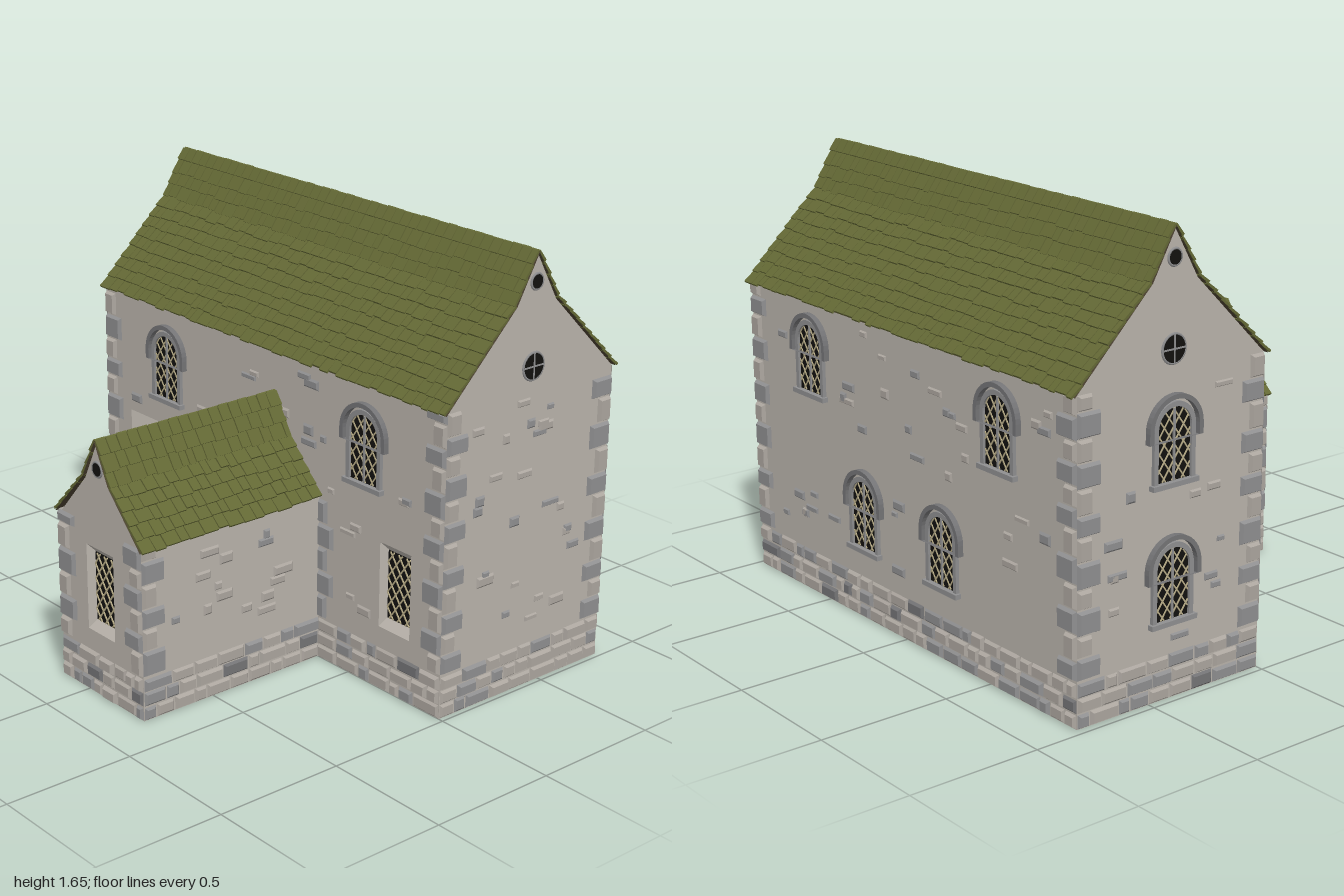
import * as THREE from 'three';
import { mergeGeometries } from 'three/addons/utils/BufferGeometryUtils.js';

const material = (name, color, side = THREE.FrontSide) => {
  const m = new THREE.MeshStandardMaterial({ color, side });
  m.name = name;
  return m;
};
const M = {
  plaster: material('plaster', 0xb9b3ab, THREE.DoubleSide),
  pale: material('paleStone', 0xaca69f),
  grey: material('greyStone', 0x8f8f90),
  dark: material('darkStone', 0x747476),
  tile: material('mossTile', 0x646935),
  under: material('roofUnderside', 0x4a4030, THREE.DoubleSide),
  glass: material('darkGlass', 0x12110f),
  lead: material('creamLattice', 0xb9ad88),
};

let seed = 11;
const rnd = (a = 0, b = 1) => {
  seed = (seed * 16807) % 2147483647;
  return a + (b - a) * (seed / 2147483647);
};

function add(parent, name, geo, mat) {
  const mesh = new THREE.Mesh(Array.isArray(geo) ? mergeGeometries(geo) : geo, mat);
  mesh.name = name;
  parent.add(mesh);
  return mesh;
}
const box = (w, h, d, x, y, z) => new THREE.BoxGeometry(w, h, d).translate(x, y, z);

// Stone block with a chamfered outer face, standing on the wall plane z = 0
function stone(x0, x1, y0, y1, depth) {
  const w = x1 - x0, h = y1 - y0, g = new THREE.BoxGeometry(w, h, depth), p = g.attributes.position;
  const c = Math.min(0.008, w * 0.2, h * 0.2);
  for (let i = 0; i < p.count; i++) {
    if (p.getZ(i) > 0) p.setXY(i, p.getX(i) - Math.sign(p.getX(i)) * c, p.getY(i) - Math.sign(p.getY(i)) * c);
  }
  g.computeVertexNormals();
  return g.translate((x0 + x1) / 2, (y0 + y1) / 2, depth / 2);
}

// Diagonal bars clipped to a convex opening
function lattice(inside, cx, cy, z, gap = 0.034) {
  const bars = [], slope = 0.95;
  for (const s of [1, -1]) {
    const a = s * slope, dx = Math.cos(a), dy = Math.sin(a);
    for (let k = -9; k <= 9; k++) {
      const ox = cx - dy * k * gap, oy = cy + dx * k * gap;
      let t0 = null, t1 = 0;
      for (let t = -0.3; t <= 0.3; t += 0.004) {
        if (inside(ox + dx * t, oy + dy * t)) { t0 = t0 ?? t; t1 = t; }
      }
      if (t0 === null || t1 - t0 < 0.01) continue;
      const m = (t0 + t1) / 2;
      bars.push(new THREE.BoxGeometry(t1 - t0, 0.005, 0.004).rotateZ(a).translate(ox + dx * m, oy + dy * m, z));
    }
  }
  return bars;
}

// Round-headed outline: half width r, from y0 up to springing ys
function archPath(r, y0, ys, Kind = THREE.Shape) {
  const s = new Kind();
  s.moveTo(-r, y0);
  s.lineTo(r, y0);
  s.lineTo(r, ys);
  s.absarc(0, ys, r, 0, Math.PI, false);
  s.closePath();
  return s;
}
const extrude = (shape, depth, z) =>
  new THREE.ExtrudeGeometry(shape, { depth, bevelEnabled: false, curveSegments: 10 }).translate(0, 0, z);

function archWindow(x, y) {
  const g = new THREE.Group();
  g.name = 'archedWindow';
  const r = 0.072, ys = 0.185;
  add(g, 'pane', extrude(archPath(r, 0, ys), 0.008, -0.004), M.glass);
  const inside = (px, py) => Math.abs(px) < r && py > 0 && (py < ys || Math.hypot(px, py - ys) < r);
  add(g, 'lattice', [...lattice(inside, 0, 0.13, 0.005), ...lattice(inside, 0, 0.13, -0.005)], M.lead);
  const frame = archPath(0.09, -0.005, ys);
  frame.holes.push(archPath(r, 0, ys, THREE.Path));
  add(g, 'surround', extrude(frame, 0.014, 0), M.grey);
  const hood = archPath(0.117, 0.145, ys);
  hood.holes.push(archPath(0.1, 0.1451, ys, THREE.Path));
  add(g, 'hoodMould', extrude(hood, 0.022, 0), M.dark);
  add(g, 'sillAndMullion', [box(0.2, 0.018, 0.024, 0, -0.008, 0.012), box(0.008, 0.25, 0.012, 0, 0.127, 0.004)], M.grey);
  g.position.set(x, y, 0);
  return g;
}

// Square-headed window set back in a splayed reveal
const REVEAL = { w: 0.16, h: 0.33, depth: 0.03 };
function squareWindow(x, y) {
  const g = new THREE.Group(), { w, h, depth } = REVEAL, k = 0.8;
  g.name = 'squareWindow';
  const reveal = new THREE.CylinderGeometry(Math.SQRT1_2, Math.SQRT1_2 * k, depth, 4, 1, true, Math.PI / 4)
    .rotateX(Math.PI / 2).scale(w, h, 1).translate(0, 0, -depth / 2).toNonIndexed();
  reveal.computeVertexNormals();
  add(g, 'reveal', reveal, M.plaster);
  add(g, 'pane', box(w * k, h * k, 0.006, 0, 0, -depth), M.glass);
  const inside = (px, py) => Math.abs(px) < w * k / 2 && Math.abs(py) < h * k / 2;
  add(g, 'lattice', [...lattice(inside, 0, 0, 0.005 - depth), ...lattice(inside, 0, 0, -0.005 - depth)], M.lead);
  g.position.set(x, y, 0);
  return g;
}

function roundWindow(y, r, cross) {
  const g = new THREE.Group();
  g.name = 'roundWindow';
  add(g, 'pane', new THREE.CylinderGeometry(r, r, 0.008, 20).rotateX(Math.PI / 2), M.glass);
  add(g, 'rim', new THREE.TorusGeometry(r, 0.005, 6, 24), M.grey);
  if (cross) add(g, 'bars', [box(r * 2, 0.006, 0.012, 0, 0, 0), box(0.006, r * 2, 0.012, 0, 0, 0)], M.grey);
  g.position.y = y;
  return g;
}

// One wall: local x along it, y up, z outward
function wall(name, o) {
  const g = new THREE.Group(), L = o.width / 2;
  g.name = name;
  g.position.set(...o.at);
  g.rotation.y = o.turn ?? 0;
  const pts = [[-L, 0], [L, 0], [L, o.height]];
  if (o.gable) {
    const up = o.gable.map(([a, h]) => [a, h - 0.012]);
    pts.push(...up, ...up.slice(0, -1).reverse().map(([a, h]) => [-a, h]));
  }
  pts.push([-L, o.height]);
  const shape = new THREE.Shape(pts.map(([a, b]) => new THREE.Vector2(a, b)));
  const avoid = [...(o.openings ?? [])];
  for (const [x, y] of o.square ?? []) {
    avoid.push([x - REVEAL.w / 2, x + REVEAL.w / 2, y - REVEAL.h / 2, y + REVEAL.h / 2]);
    g.add(squareWindow(x, y));
  }
  for (const [a, b, c, d] of avoid) {
    shape.holes.push(new THREE.Path([[a, c], [a, d], [b, d], [b, c]].map(([p, q]) => new THREE.Vector2(p, q))));
  }
  for (const [x, y] of o.arched ?? []) {
    avoid.push([x - 0.13, x + 0.13, y - 0.03, y + 0.31]);
    g.add(archWindow(x, y));
  }
  for (const [y, r, cross] of o.round ?? []) g.add(roundWindow(y, r, cross));
  add(g, 'plasterFace', new THREE.ShapeGeometry(shape), M.plaster);

  const pale = [], grey = [], dark = [];
  // Plinth courses
  for (const [a, b] of o.plinth ?? [[-L, L]]) {
    for (let row = 0; row < 3; row++) {
      for (let x = a; x < b - 0.01;) {
        let e = Math.min(b, x + rnd(0.05, 0.13));
        if (b - e < 0.04) e = b;
        const y = row * 0.055, pick = rnd();
        (pick < 0.62 ? pale : pick < 0.92 ? grey : dark)
          .push(stone(x + 0.003, e - 0.003, y + 0.002, y + rnd(0.049, 0.054), rnd(0.007, 0.015)));
        x = e;
      }
    }
  }
  // Corner quoins, alternating long and short
  for (const [x, dir] of o.corners ?? [[-L, 1], [L, -1]]) {
    for (let y = 0.17, i = o.turn ? 1 : 0; y < o.height - 0.04; i++) {
      const h = Math.min(rnd(0.07, 0.1), o.height - y), e = x + dir * (i % 2 ? 0.095 : 0.06);
      (i % 2 ? grey : pale).push(stone(Math.min(x, e), Math.max(x, e), y + 0.003, y + h - 0.003, 0.014));
      y += h;
    }
  }
  // Scattered stones showing through the plaster
  for (let i = 0; i < o.width * o.height * 26; i++) {
    const w = rnd(0.03, 0.09), h = rnd(0.02, 0.042);
    const x = rnd(-L + 0.11, L - 0.11 - w), y = rnd(0.19, o.height - 0.05);
    if (avoid.some(([a, b, c, d]) => x + w > a - 0.02 && x < b + 0.02 && y + h > c - 0.02 && y < d + 0.02)) continue;
    (rnd() < 0.55 ? pale : grey).push(stone(x, x + w, y, y + h, 0.007));
  }
  add(g, 'paleStones', pale, M.pale);
  add(g, 'greyStones', grey, M.grey);
  if (dark.length) add(g, 'darkStones', dark, M.dark);
  return g;
}

// Pitched roof with its ridge along local x; profile runs from eave to ridge
function roof(name, length, profile, rowHeight) {
  const g = new THREE.Group(), tiles = [], under = [];
  g.name = name;
  for (const side of [0, Math.PI]) {
    for (let s = 0; s < profile.length - 1; s++) {
      const [[z0, y0], [z1, y1]] = [profile[s], profile[s + 1]];
      const len = Math.hypot(z1 - z0, y1 - y0), pitch = Math.atan2(y1 - y0, z0 - z1);
      const place = (geo) => geo.rotateX(pitch - Math.PI / 2).translate(0, y0, z0).rotateY(side);
      under.push(place(new THREE.PlaneGeometry(length, len).translate(0, len / 2, -0.002)));
      const rows = Math.round(len / rowHeight), rh = len / rows;
      for (let r = 0; r < rows; r++) {
        const ridge = s === profile.length - 2 && r === rows - 1;
        for (let x = -length / 2; x < length / 2 - 0.005;) {
          let e = Math.min(length / 2, x + (ridge ? 0.045 : rnd(0.03, 0.07)));
          if (length / 2 - e < 0.02) e = length / 2;
          const low = r * rh - (ridge ? 0 : rnd(0, 0.01)), h = (r + 1) * rh - low;
          const t = new THREE.BoxGeometry(e - x - 0.004, h, 0.009).translate(0, h / 2, 0);
          t.rotateX(-0.1 - rnd(0, 0.06)).translate((x + e) / 2, low, 0.009);
          tiles.push(place(t));
          x = e;
        }
      }
    }
  }
  add(g, 'tiles', tiles, M.tile);
  add(g, 'underside', under, M.under);
  return g;
}

export function createModel() {
  const model = new THREE.Group();
  model.name = 'stoneChapelHouse';
  const mainRoof = [[0.42, 1.145], [0.1, 1.465], [0, 1.643]];
  const porchRoof = [[0.255, 0.65], [0.075, 0.84], [0, 0.99]];
  const q = Math.PI / 2;

  // Main hall
  const gable = { width: 0.81, height: 1.15, gable: [[0.395, 1.17], ...mainRoof.slice(1)], round: [[1.23, 0.05, true], [1.535, 0.028, false]] };
  model.add(
    wall('frontWall', {
      width: 1.95, height: 1.15, at: [0.005, 0, 0],
      openings: [[-0.825, -0.325, 0.16, 0.66], [-0.165, 0.325, 0.001, 0.64]],
      square: [[0.735, 0.41]], arched: [[-0.575, 0.775], [0.57, 0.775]],
      plinth: [[-0.975, -0.165], [0.325, 0.975]],
      corners: [[-0.975, 1], [0.975, -1]],
    }),
    wall('backWall', {
      width: 1.95, height: 1.15, at: [0.005, 0, -0.81], turn: Math.PI,
      arched: [[-0.57, 0.8], [0.57, 0.8], [-0.24, 0.28], [0.24, 0.28]],
    }),
    wall('leftGableWall', { ...gable, at: [0.98, 0, -0.405], turn: q }),
    wall('rightGableWall', { ...gable, at: [-0.97, 0, -0.405], turn: -q, arched: [[0, 0.78], [0, 0.29]] }),
  );
  const hallRoof = roof('mainRoof', 1.965, mainRoof, 0.052);
  hallRoof.position.set(0.005, 0, -0.405);
  model.add(hallRoof);

  // Porch wing
  model.add(
    wall('porchFrontWall', {
      width: 0.49, height: 0.66, at: [0.085, 0, 0.81], gable: [[0.235, 0.66], ...porchRoof.slice(1)],
      square: [[0, 0.41]], round: [[0.88, 0.027, false]],
    }),
    wall('porchLeftWall', { width: 0.81, height: 0.66, at: [0.33, 0, 0.405], turn: q, corners: [[-0.405, 1]] }),
    wall('porchRightWall', {
      width: 0.81, height: 0.66, at: [-0.16, 0, 0.405], turn: -q, corners: [[0.405, -1]],
      square: [[-0.155, 0.41], [0.175, 0.41]],
    }),
  );
  const wingRoof = roof('porchRoof', 0.82, porchRoof, 0.048);
  wingRoof.rotation.y = q;
  wingRoof.position.set(0.085, 0, 0.411);
  model.add(wingRoof);

  // Quoins on the hall wall either side of the porch
  const jambs = [];
  for (let i = 0; i < 5; i++) {
    const y = 0.17 + i * 0.095, w = i % 2 ? 0.08 : 0.045;
    jambs.push(stone(-0.16 - w, -0.16, y, y + 0.088, 0.014), stone(0.33, 0.33 + w, y, y + 0.088, 0.014));
  }
  add(model, 'porchJunctionQuoins', jambs, M.grey);

  // Doorstep of stacked slabs
  const steps = [];
  for (let i = 0; i < 3; i++) {
    const d = 0.16 - i * 0.05;
    steps.push(box(0.39, 0.024, d, -0.575, 0.1 + i * 0.027, d / 2));
  }
  add(model, 'doorSteps', steps, M.grey);
  return model;
}
